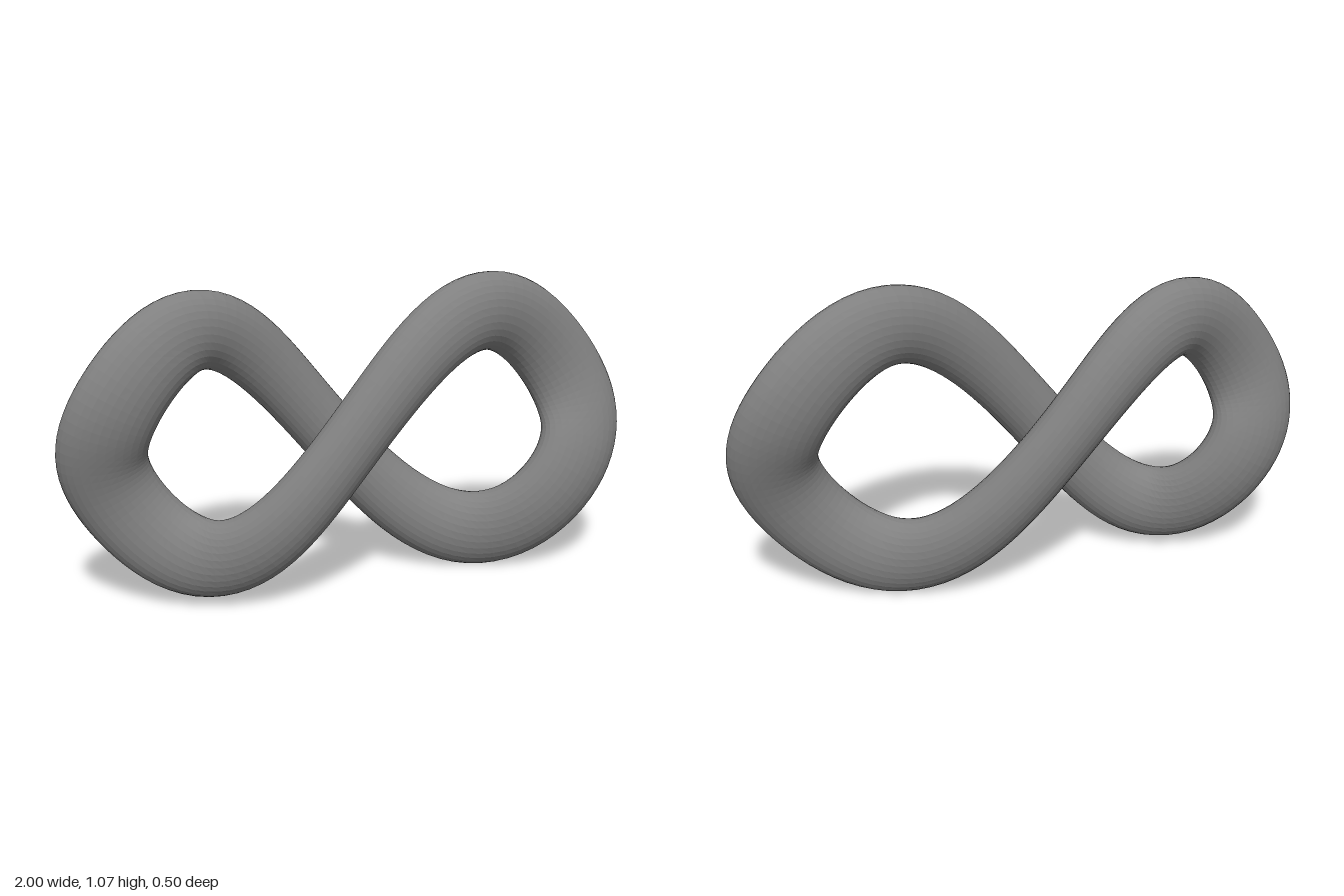
import * as THREE from 'three';

const { sin, cos, PI } = Math;

// Centre line of the figure eight; t = 0 is the front strand at the crossing
function centreLine(t) {
  return new THREE.Vector3(
    -0.035 + 0.79 * sin(t) - 0.062 * sin(3 * t) - 0.035 * cos(2 * t),
    0.54 + (0.37 * sin(2 * t) + 0.02 * sin(4 * t) - 0.015 * sin(6 * t)) * (1 + 0.055 * sin(t)),
    0.106 * cos(t) + 0.073 * cos(3 * t) - 0.017 * cos(5 * t) - 0.018 * sin(2 * t));
}

// Half width of the tube: slim at the crossing, thickest at the two ends
function halfWidth(t) {
  return 0.129 - 0.013 * cos(2 * t) - 0.007 * cos(4 * t) + 0.013 * sin(t) ** 12;
}

export function createModel() {
  const group = new THREE.Group();

  // Closed tube with an oval section, flatter towards the front and back
  const rings = 144, sides = 32, depth = 0.084, step = 0.001;
  const zAxis = new THREE.Vector3(0, 0, 1);
  const positions = [], indices = [];
  for (let i = 0; i < rings; i++) {
    const t = (i / rings) * PI * 2;
    const centre = centreLine(t);
    const tangent = centreLine(t + step).sub(centreLine(t - step)).normalize();
    const across = new THREE.Vector3().crossVectors(tangent, zAxis).normalize();
    const through = new THREE.Vector3().crossVectors(tangent, across);
    for (let j = 0; j < sides; j++) {
      const angle = (j / sides) * PI * 2;
      const p = centre.clone()
        .addScaledVector(across, cos(angle) * halfWidth(t))
        .addScaledVector(through, sin(angle) * depth);
      positions.push(p.x, p.y, p.z);

      const i2 = (i + 1) % rings, j2 = (j + 1) % sides;
      const a = i * sides + j, b = i * sides + j2;
      const c = i2 * sides + j2, d = i2 * sides + j;
      indices.push(a, b, c, a, c, d);
    }
  }
  const geometry = new THREE.BufferGeometry();
  geometry.setAttribute('position', new THREE.Float32BufferAttribute(positions, 3));
  geometry.setIndex(indices);
  geometry.computeVertexNormals();

  // Stand on the ground, centred
  geometry.computeBoundingBox();
  const box = geometry.boundingBox;
  const middle = box.getCenter(new THREE.Vector3());
  geometry.translate(-middle.x, -box.min.y, -middle.z);

  const material = new THREE.MeshStandardMaterial({ color: 0x808080, flatShading: true });
  const loop = new THREE.Mesh(geometry, material);
  loop.name = 'figureEightLoop';
  group.add(loop);
  return group;
}
